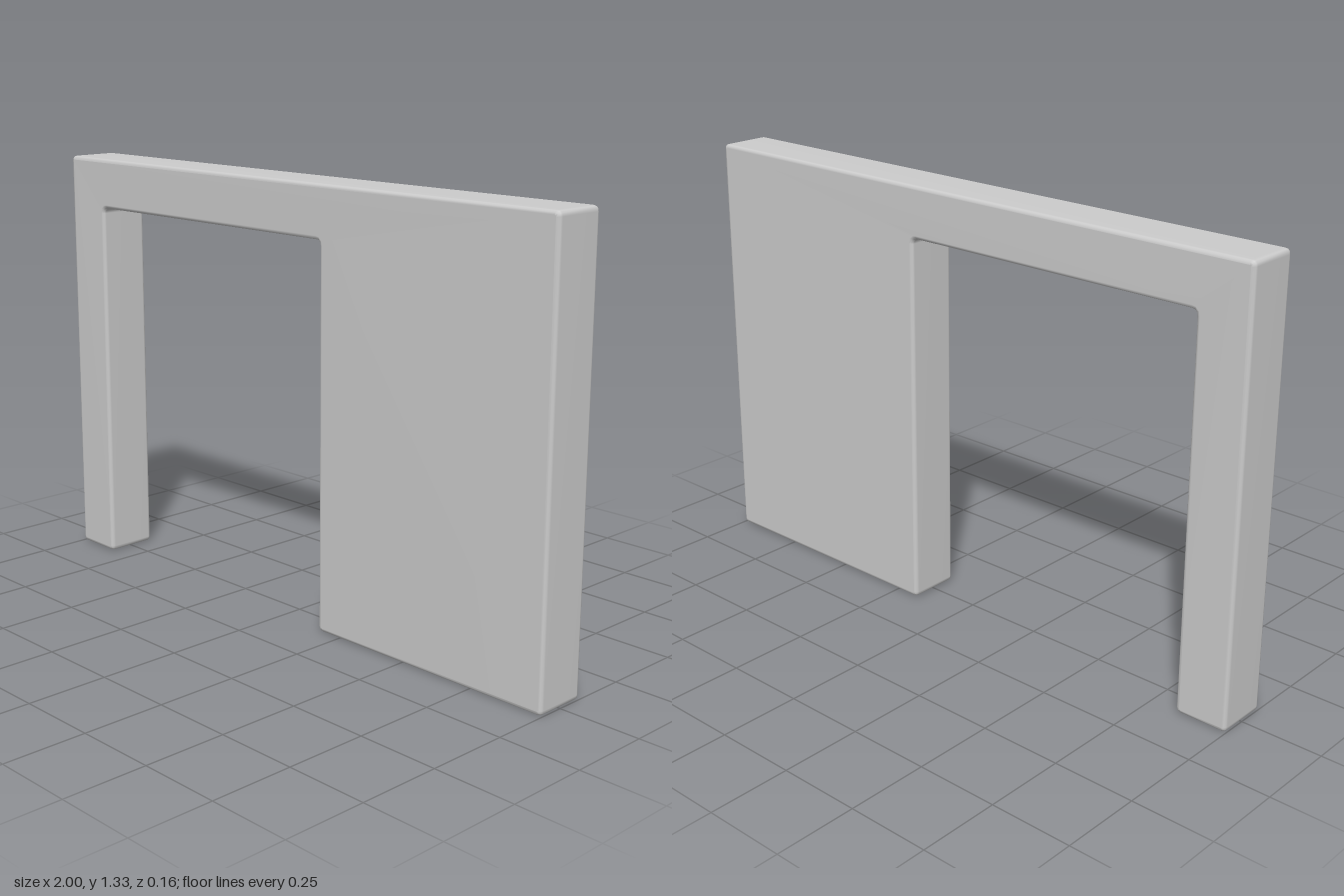
import * as THREE from 'three';
import { mergeVertices } from 'three/addons/utils/BufferGeometryUtils.js';

const HEIGHT = 1.33, THICKNESS = 0.165, BEVEL = 0.012, CORNER = 0.016;

// Closed outline whose corners are softened by a small radius
function roundedOutline(points, radius) {
  const shape = new THREE.Shape();
  const corners = points.map(([x, y]) => new THREE.Vector2(x, y));
  const n = corners.length;
  corners.forEach((c, i) => {
    const toward = (p) => p.clone().sub(c).setLength(radius).add(c);
    const a = toward(corners[(i + n - 1) % n]);
    const b = toward(corners[(i + 1) % n]);
    if (i === 0) shape.moveTo(a.x, a.y);
    else shape.lineTo(a.x, a.y);
    shape.quadraticCurveTo(c.x, c.y, b.x, b.y);
  });
  shape.closePath();
  return shape;
}

export function createModel() {
  const group = new THREE.Group();
  group.name = 'wallWithDoorway';

  // Narrow post, lintel and wide wall panel as one continuous outline
  const outline = roundedOutline([
    [-1, 0], [-0.835, 0], [-0.835, 1.17], [0.165, 1.17],
    [0.165, 0], [1, 0], [1, HEIGHT], [-1, HEIGHT],
  ], CORNER);

  // Bevel is cut inwards so the outer size stays exact
  let geometry = new THREE.ExtrudeGeometry(outline, {
    depth: THICKNESS - 2 * BEVEL,
    curveSegments: 3,
    bevelEnabled: true,
    bevelThickness: BEVEL,
    bevelSize: BEVEL,
    bevelOffset: -BEVEL,
    bevelSegments: 3,
  });
  geometry.translate(0, 0, BEVEL - THICKNESS / 2);

  // Shared vertices give soft shading across the rounded edges
  geometry.deleteAttribute('uv');
  geometry.deleteAttribute('normal');
  geometry = mergeVertices(geometry, 1e-5);
  geometry.computeVertexNormals();

  const wall = new THREE.Mesh(geometry, new THREE.MeshStandardMaterial({ color: 0xcccccc }));
  wall.name = 'wall';
  group.add(wall);
  return group;
}
